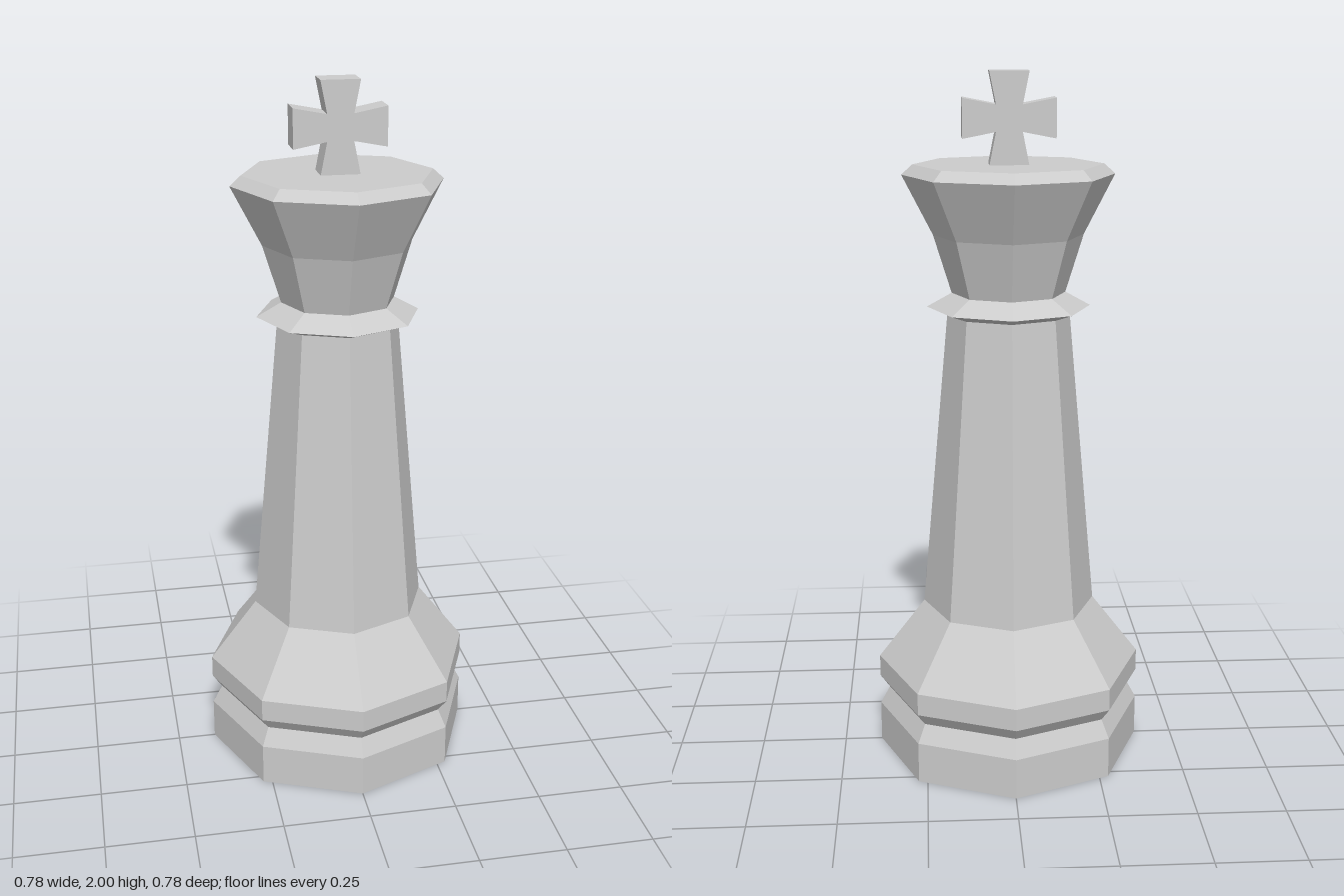
import * as THREE from 'three';

const material = new THREE.MeshStandardMaterial({ color: 0xcccccc, flatShading: true });

// Eight-sided turned part from [radius, height] pairs, listed bottom to top
function turned(name, profile) {
  const points = profile.map(([r, y]) => new THREE.Vector2(r, y));
  const mesh = new THREE.Mesh(new THREE.LatheGeometry(points, 8), material);
  mesh.name = name;
  return mesh;
}

// Cross with four flared arms, centred on its own origin
function cross(armX, armY, flare, neck, depth) {
  const outline = [];
  for (let i = 0; i < 4; i++) {
    const reach = i % 2 ? armY : armX;
    for (const [u, v] of [[reach, -flare], [reach, flare], [neck, neck]]) {
      outline.push(new THREE.Vector2(u, v).rotateAround(new THREE.Vector2(), i * Math.PI / 2));
    }
  }
  const geometry = new THREE.ExtrudeGeometry(new THREE.Shape(outline), { depth, bevelEnabled: false });
  geometry.translate(0, 0, -depth / 2);
  const mesh = new THREE.Mesh(geometry, material);
  mesh.name = 'cross';
  return mesh;
}

export function createModel() {
  const group = new THREE.Group();
  group.name = 'chessKing';

  // Grooved foot sloping in to the shaft
  group.add(turned('base', [
    [0, 0], [0.39, 0], [0.39, 0.12], [0.362, 0.172], [0.39, 0.21], [0.39, 0.275], [0.253, 0.453],
  ]));
  group.add(turned('shaft', [[0.253, 0.453], [0.175, 1.325]]));
  group.add(turned('collar', [[0.175, 1.325], [0.233, 1.346], [0.162, 1.385]]));
  // Flared head with a chamfered, flat top
  group.add(turned('head', [
    [0.162, 1.385], [0.213, 1.55], [0.299, 1.718], [0.268, 1.746], [0, 1.746],
  ]));

  const top = cross(0.13, 0.127, 0.055, 0.037, 0.084);
  top.position.y = 1.873;
  group.add(top);

  return group;
}
